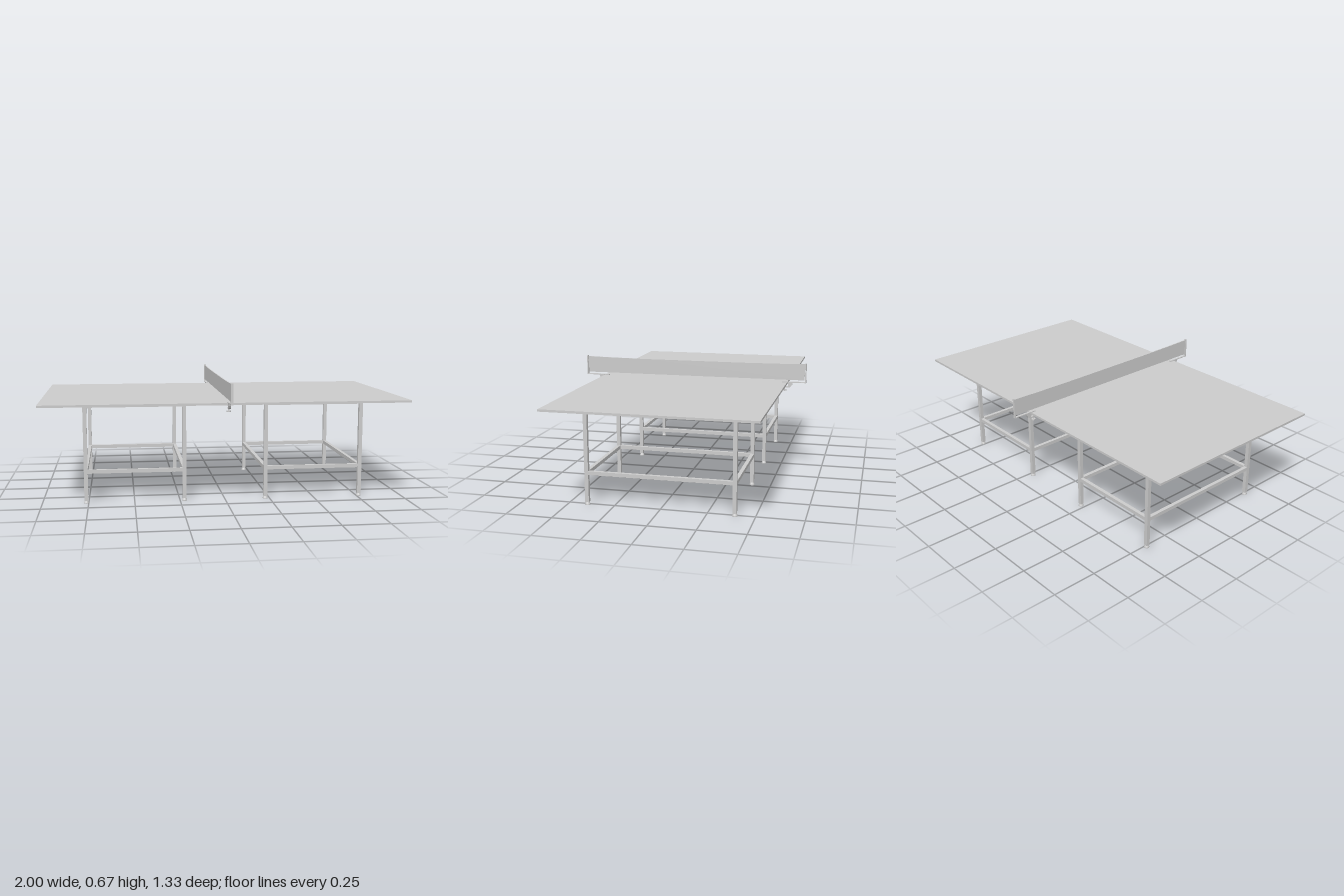
import * as THREE from 'three';

const grey = new THREE.MeshStandardMaterial({ color: 0xcccccc, side: THREE.DoubleSide });

function add(parent, name, geometry, x = 0, y = 0, z = 0) {
  const mesh = new THREE.Mesh(geometry, grey);
  mesh.name = name;
  mesh.position.set(x, y, z);
  parent.add(mesh);
  return mesh;
}
const box = (parent, name, w, h, d, x, y, z) =>
  add(parent, name, new THREE.BoxGeometry(w, h, d), x, y, z);

// Outline drawn in (z, y), extruded across x and centred on x = 0
function sideExtrude(points, width) {
  const shape = new THREE.Shape(points.map(([z, y]) => new THREE.Vector2(z, y)));
  const g = new THREE.ExtrudeGeometry(shape, { depth: width, bevelEnabled: false });
  g.translate(0, 0, -width / 2);
  g.rotateY(-Math.PI / 2);
  return g;
}

// Four-legged frame with an upper and a lower ring of square tube
function createFrame() {
  const frame = new THREE.Group();
  frame.name = 'supportFrame';
  const tube = 0.021, halfX = 0.268, halfZ = 0.395;
  for (const sx of [-1, 1]) for (const sz of [-1, 1]) {
    box(frame, 'leg', tube, 0.531, tube, sx * halfX, 0.2805, sz * halfZ);
    add(frame, 'foot', new THREE.CylinderGeometry(0.008, 0.014, 0.014, 16), sx * halfX, 0.011, sz * halfZ);
    add(frame, 'footPad', new THREE.CylinderGeometry(0.014, 0.014, 0.004, 16), sx * halfX, 0.002, sz * halfZ);
  }
  for (const [name, y, t] of [['upperRail', 0.5355, 0.021], ['lowerRail', 0.175, 0.02]]) {
    for (const s of [-1, 1]) {
      box(frame, name, 2 * halfX - tube, t, t, 0, y, s * halfZ);
      box(frame, name, t, t, 2 * halfZ - tube, s * halfX, y, 0);
    }
  }
  return frame;
}

// Net post with its arm, C-shaped clamp and tightening screw, for the +z edge
function createPost() {
  const post = new THREE.Group();
  post.name = 'netPost';
  box(post, 'upright', 0.013, 0.112, 0.007, 0, 0.616, 0.6595);
  box(post, 'arm', 0.013, 0.005, 0.138, 0, 0.5605, 0.594);
  add(post, 'clamp', sideExtrude([
    [0.586, 0.56], [0.583, 0.547], [0.575, 0.534], [0.565, 0.528], [0.527, 0.528],
    [0.527, 0.533], [0.557, 0.534], [0.559, 0.541], [0.559, 0.56],
  ], 0.013));
  const disc = (name, r, h, y) =>
    add(post, name, new THREE.CylinderGeometry(r, r, h, 16), 0, y, 0.538);
  disc('screw', 0.0035, 0.034, 0.528);
  disc('clampPad', 0.009, 0.003, 0.5435);
  disc('knob', 0.012, 0.006, 0.513);
  return post;
}

export function createModel() {
  const model = new THREE.Group();
  model.name = 'tableTennisTable';

  box(model, 'tableTop', 2, 0.012, 1.106, 0, 0.552, 0);

  for (const s of [-1, 1]) {
    const frame = createFrame();
    frame.position.x = s * 0.494;
    model.add(frame);

    const post = createPost();
    if (s < 0) post.rotation.y = Math.PI;
    model.add(post);
  }

  // Net whose upper edge sags gently between the posts
  const sag = [[-0.656, 0.668], [-0.51, 0.665], [-0.29, 0.663], [0.29, 0.663], [0.51, 0.665], [0.656, 0.668]];
  add(model, 'net', sideExtrude([[0.652, 0.573], [-0.652, 0.573], ...sag], 0.003));
  const lower = sag.map(([z, y]) => [z, y - 0.005]).reverse();
  add(model, 'netTape', sideExtrude([...sag, ...lower], 0.006));

  return model;
}
